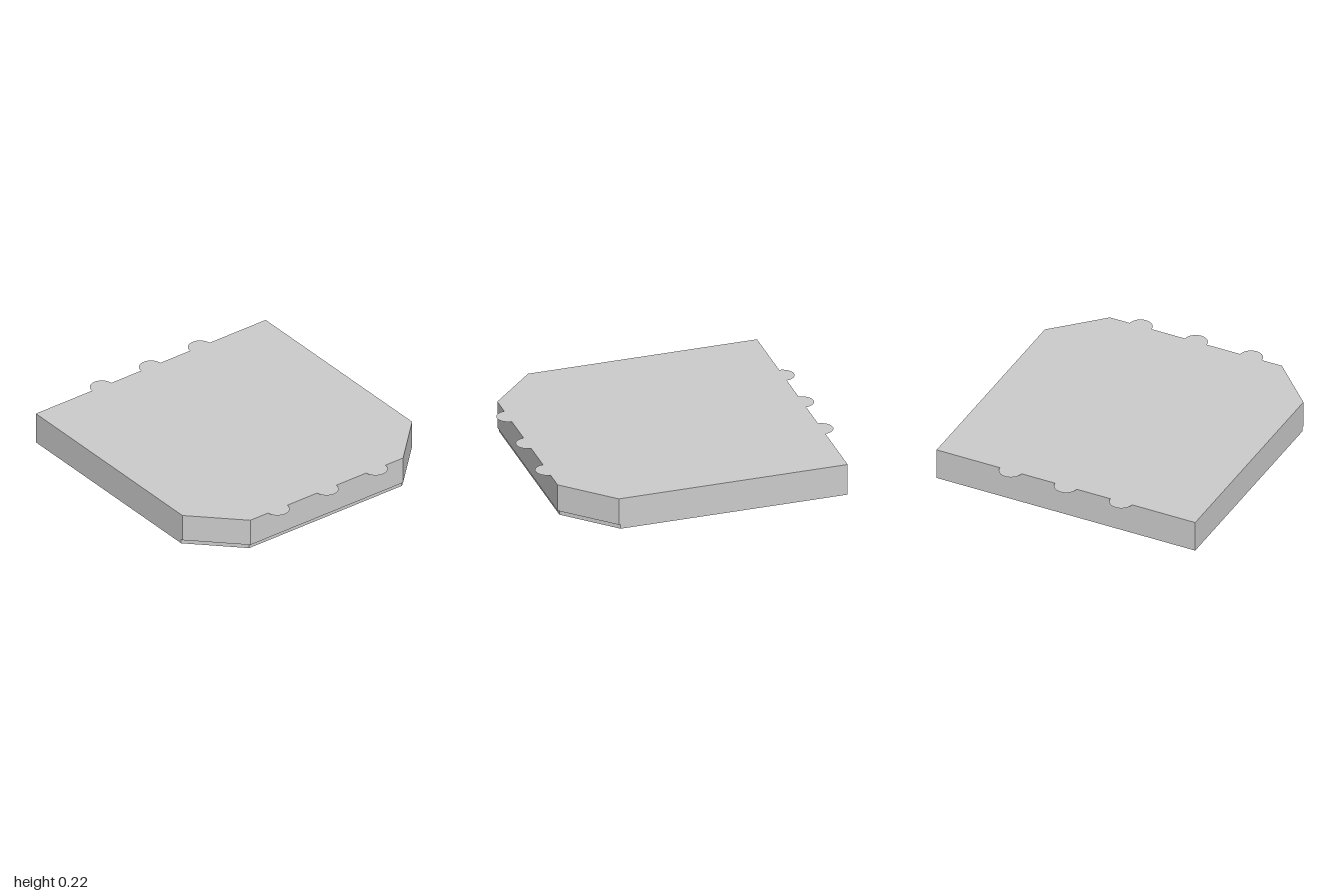
import * as THREE from 'three';

const HALF = 0.925, CHAMFER = 0.31, TOP = 0.216, STEP = 0.03, TAB_R = 0.0775;

// Square slab with both front corners cut off, standing from y0 to y1
function slab(name, front, y0, y1, material) {
  const shape = new THREE.Shape([
    [-HALF, HALF], [-HALF, CHAMFER - front], [CHAMFER - HALF, -front],
    [HALF - CHAMFER, -front], [HALF, CHAMFER - front], [HALF, HALF],
  ].map(([x, y]) => new THREE.Vector2(x, y)));
  const geometry = new THREE.ExtrudeGeometry(shape, { depth: y1 - y0, bevelEnabled: false });
  geometry.rotateX(-Math.PI / 2).translate(0, y0, 0);
  const mesh = new THREE.Mesh(geometry, material);
  mesh.name = name;
  return mesh;
}

export function createModel() {
  const group = new THREE.Group();
  group.name = 'chamferedSlab';
  const solid = new THREE.MeshStandardMaterial({ color: 0xcccccc, flatShading: true });
  const thin = new THREE.MeshStandardMaterial({ color: 0xcccccc, side: THREE.DoubleSide });

  // Main body over a base whose front is set back slightly
  group.add(slab('body', HALF, STEP, TOP, solid));
  group.add(slab('base', HALF - 0.012, 0, STEP, solid));

  // Paper-thin half-round tabs level with the top, along front and back
  for (const side of [1, -1]) {
    for (const x of [-0.395, 0, 0.395]) {
      const start = side > 0 ? Math.PI : 0;
      const tab = new THREE.Mesh(new THREE.CircleGeometry(TAB_R, 24, start, Math.PI), thin);
      tab.name = side > 0 ? 'frontTab' : 'backTab';
      tab.rotation.x = -Math.PI / 2;
      tab.position.set(x, TOP, side * (1 - TAB_R));
      group.add(tab);
    }
  }
  return group;
}
